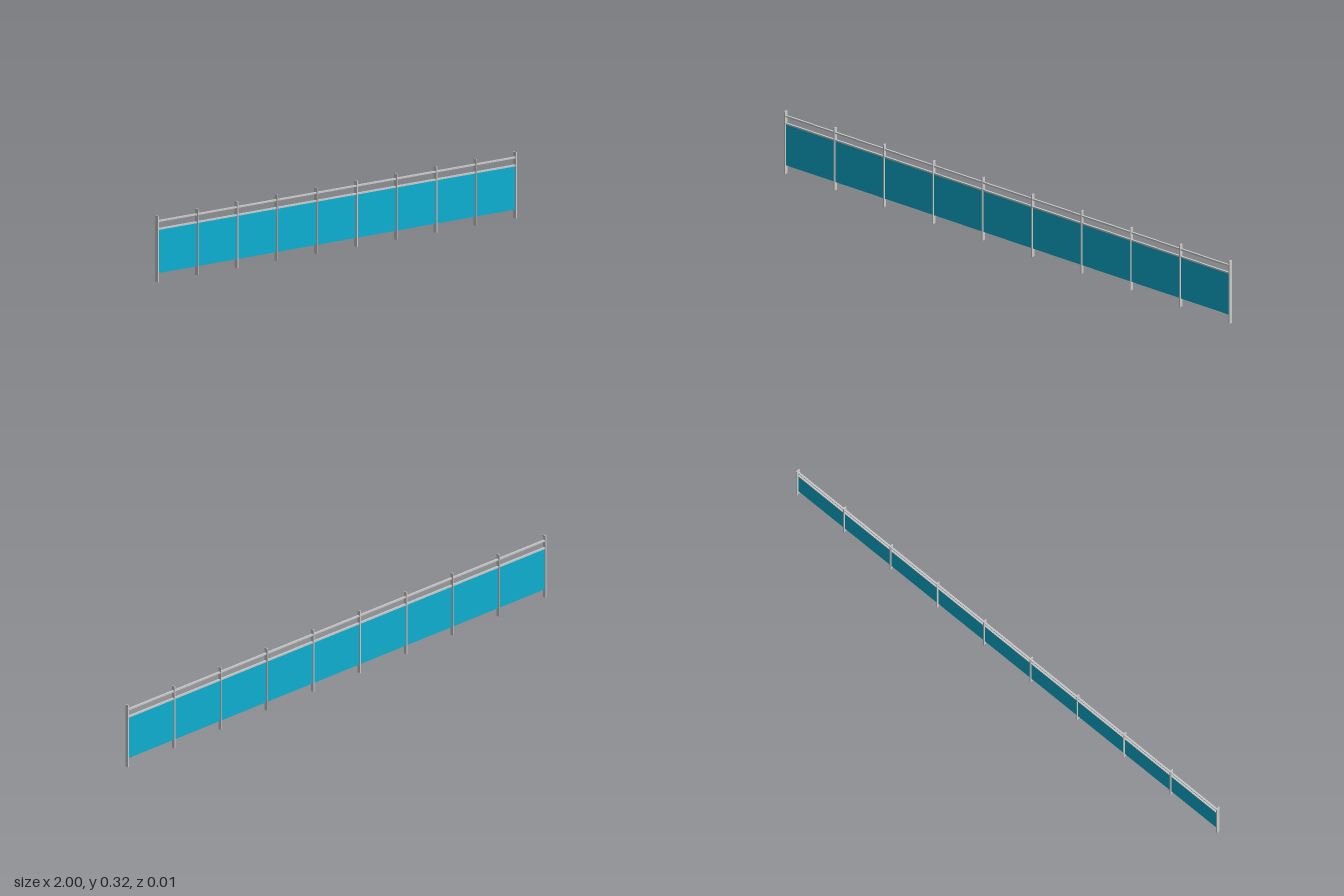
import * as THREE from 'three';

const SLOPE = -0.0415; // fall per unit of x
const POSTS = 10;
const POST_W = 0.004, POST_H = 0.242, POST_D = 0.014;

// Height of the lowest post foot line at x
const ground = (x) => 0.0415 + SLOPE * x;

// Box running the full length, sheared so its ends stay vertical
function slopedBox(name, length, bottom, top, depth, material) {
  const geo = new THREE.BoxGeometry(length, top - bottom, depth);
  const p = geo.attributes.position;
  for (let i = 0; i < p.count; i++) {
    p.setY(i, p.getY(i) + (bottom + top) / 2 + ground(p.getX(i)));
  }
  geo.computeVertexNormals();
  const mesh = new THREE.Mesh(geo, material);
  mesh.name = name;
  return mesh;
}

export function createModel() {
  const model = new THREE.Group();
  model.name = 'slopedRailing';
  const grey = new THREE.MeshStandardMaterial({ color: 0xcccccc });
  const blue = new THREE.MeshStandardMaterial({ color: 0x0db0d2 });

  // Upright flat-bar posts, stepping down the slope
  const posts = new THREE.Group();
  posts.name = 'posts';
  const postGeo = new THREE.BoxGeometry(POST_W, POST_H, POST_D);
  const reach = 1 - POST_W / 2;
  for (let i = 0; i < POSTS; i++) {
    const x = -reach + (2 * reach * i) / (POSTS - 1);
    const post = new THREE.Mesh(postGeo, grey);
    post.name = 'post';
    post.position.set(x, ground(x) + POST_H / 2, 0);
    posts.add(post);
  }
  model.add(posts);

  // Infill panel and the two rails above it
  const length = 2 * reach;
  model.add(slopedBox('infillPanel', length, 0.032, 0.192, 0.002, blue));
  model.add(slopedBox('panelRail', length, 0.19, 0.196, 0.007, grey));
  model.add(slopedBox('handrail', length, 0.219, 0.225, 0.007, grey));
  return model;
}
